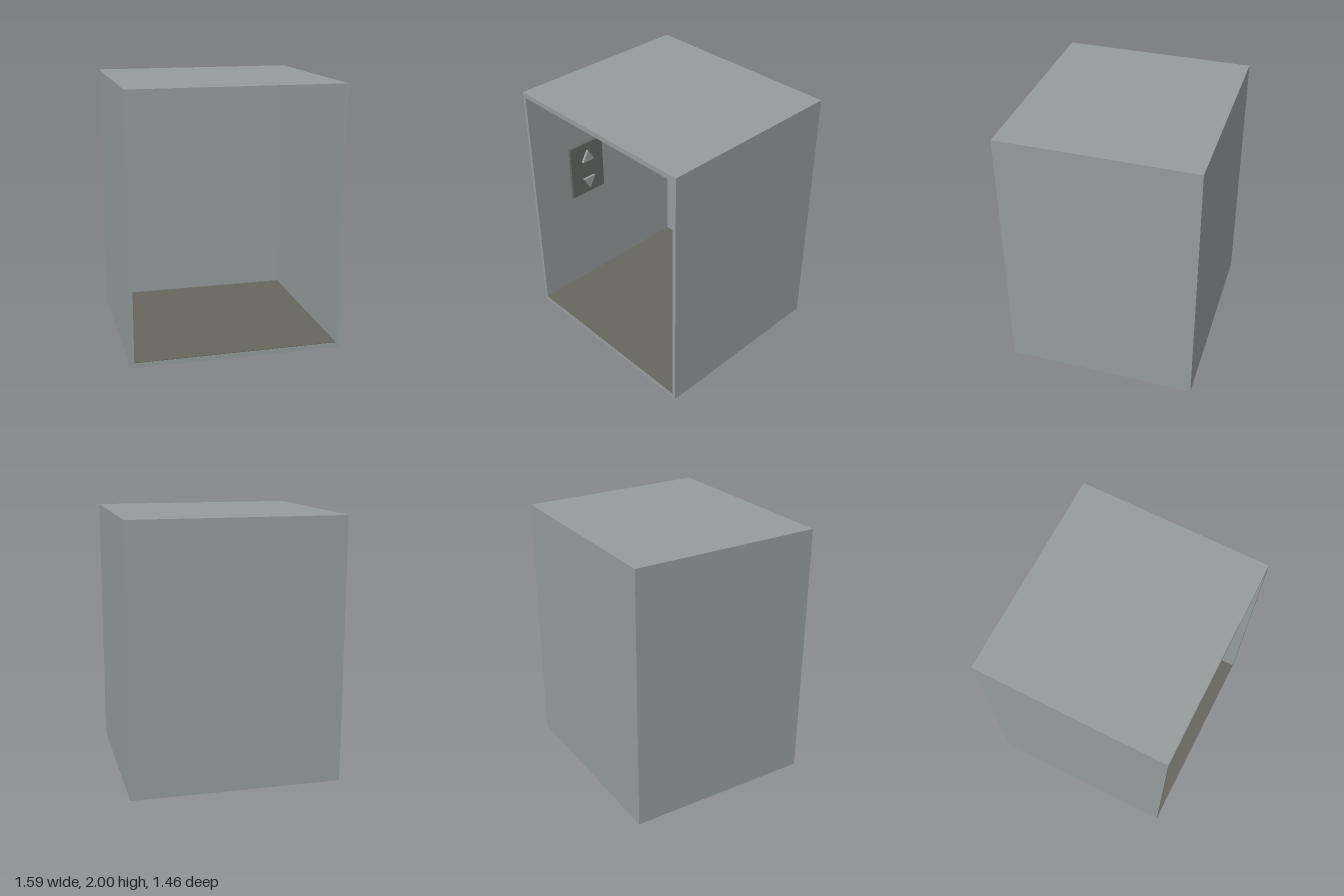
import * as THREE from 'three';

const W = 1.594, H = 2, D = 1.46;       // outer cabin size
const SIDE = 0.027, CAP = 0.038, BACK = 0.026; // wall thicknesses

const material = (name, color) => {
  const m = new THREE.MeshStandardMaterial({ color });
  m.name = name;
  return m;
};

export function createModel() {
  const shellGrey = material('shell grey', 0x959b9c);
  const floorBrown = material('floor brown grey', 0x66665f);
  const panelDark = material('panel dark grey', 0x656763);
  const buttonGrey = material('button light grey', 0x9c9f9e);

  const model = new THREE.Group();
  model.name = 'liftCabin';

  const add = (name, geometry, mat, x, y, z, parent = model) => {
    const mesh = new THREE.Mesh(geometry, mat);
    mesh.name = name;
    mesh.position.set(x, y, z);
    parent.add(mesh);
    return mesh;
  };

  // Side walls, floor slab and ceiling as one open sleeve
  const rect = (Type, x, y0, y1) => new Type([
    new THREE.Vector2(-x, y0), new THREE.Vector2(x, y0),
    new THREE.Vector2(x, y1), new THREE.Vector2(-x, y1),
  ]);
  const outline = rect(THREE.Shape, W / 2, 0, H);
  outline.holes.push(rect(THREE.Path, W / 2 - SIDE, CAP, H - CAP));
  const sleeve = new THREE.ExtrudeGeometry(outline, { depth: D - BACK, bevelEnabled: false });
  add('cabinWalls', sleeve, shellGrey, 0, 0, -D / 2 + BACK);

  // Back wall
  add('backWall', new THREE.BoxGeometry(W, H, BACK), shellGrey, 0, H / 2, -D / 2 + BACK / 2);

  // Floor covering
  add('floorCovering', new THREE.BoxGeometry(W - 2 * SIDE, 0.004, D - BACK - 0.002), floorBrown,
    0, CAP + 0.002, BACK / 2 - 0.001);

  // Control panel on the inside of the right wall
  const controls = new THREE.Group();
  controls.name = 'controls';
  controls.position.set(-W / 2 + SIDE, 1.147, 0.225);
  model.add(controls);
  add('controlPanel', new THREE.BoxGeometry(0.026, 0.464, 0.325), panelDark, 0.013, 0, 0, controls);

  // Triangular up and down buttons
  for (const [name, dir, y] of [['upButton', 1, 0.124], ['downButton', -1, -0.135]]) {
    const tri = new THREE.Shape([
      new THREE.Vector2(-0.057, -0.049 * dir),
      new THREE.Vector2(0.057, -0.049 * dir),
      new THREE.Vector2(0, 0.049 * dir),
    ]);
    const button = new THREE.ExtrudeGeometry(tri, { depth: 0.022, bevelEnabled: false });
    button.rotateY(Math.PI / 2);
    add(name, button, buttonGrey, 0.026, y, 0, controls);
  }

  return model;
}
